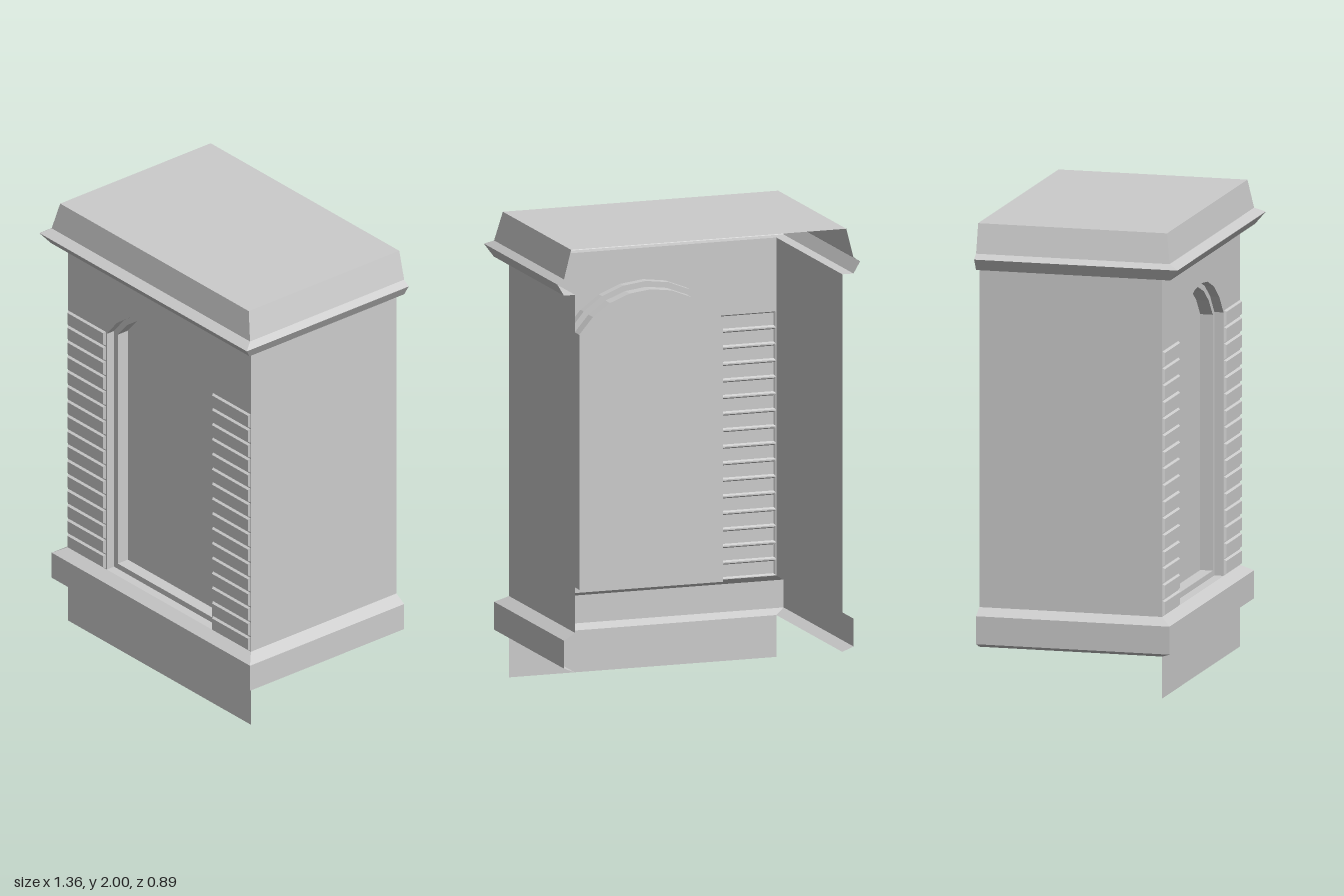
import * as THREE from 'three';

const BACK = -0.445, WALL_X = 0.6, WALL_Z = 0.355, WALL_BOTTOM = 0.35, WALL_TOP = 1.805;
const material = new THREE.MeshStandardMaterial({ color: 0xcccccc, flatShading: true, side: THREE.DoubleSide });

function mesh(name, geometry) {
  const m = new THREE.Mesh(geometry, material);
  m.name = name;
  return m;
}

// Joins successive rows of points [x, y, z] with flat quads
function loft(rows, closed = false) {
  const pos = [];
  for (let i = 0; i < rows.length - 1; i++) {
    const n = rows[i].length;
    for (let j = 0; j < (closed ? n : n - 1); j++) {
      const k = (j + 1) % n;
      const a = rows[i][j], b = rows[i][k], c = rows[i + 1][k], d = rows[i + 1][j];
      pos.push(...a, ...b, ...c, ...a, ...c, ...d);
    }
  }
  const g = new THREE.BufferGeometry();
  g.setAttribute('position', new THREE.Float32BufferAttribute(pos, 3));
  g.computeVertexNormals();
  return g;
}

// Runs a moulding profile of [x, z, y] around the left, front and right sides
const moulding = (profile) => loft(profile.map(([x, z, y]) =>
  [[-x, y, BACK], [-x, y, z], [x, y, z], [x, y, BACK]]));

// Round-topped outline, counter-clockwise from bottom left
function archPoints(halfWidth, bottom, radius) {
  const pts = [[-halfWidth, bottom], [halfWidth, bottom]];
  const half = Math.asin(halfWidth / radius), segments = 8;
  for (let i = 0; i <= segments; i++) {
    const t = half * (1 - (2 * i) / segments);
    pts.push([radius * Math.sin(t), 1.262 + radius * Math.cos(t)]);
  }
  return pts;
}

const rectPoints = (x0, y0, x1, y1) => [[x0, y0], [x1, y0], [x1, y1], [x0, y1]];
const atDepth = (pts, z) => pts.map(([x, y]) => [x, y, z]);
const toVectors = (pts) => pts.map(([x, y]) => new THREE.Vector2(x, y));

function flatPanel(pts, z, holes = []) {
  const shape = new THREE.Shape(toVectors(pts));
  holes.forEach((h) => shape.holes.push(new THREE.Path(toVectors(h))));
  return new THREE.ShapeGeometry(shape).translate(0, 0, z);
}

export function createModel() {
  const group = new THREE.Group();
  const outer = archPoints(0.345, WALL_BOTTOM, 0.408);
  const inner = archPoints(0.32, 0.375, 0.383);

  // Bevelled stone courses beside the niche, open at the back
  const blocks = new THREE.Group();
  blocks.name = 'stoneCourses';
  const holes = [], count = 16, pitch = 1.14 / count;
  for (let i = 0; i < count; i++) {
    const y0 = WALL_BOTTOM + i * pitch + 0.003, y1 = y0 + pitch - 0.006;
    for (const side of [-1, 1]) {
      const x0 = side * 0.474 - 0.123, x1 = x0 + 0.246, bevel = 0.006;
      const base = rectPoints(x0, y0, x1, y1);
      const face = rectPoints(x0 + bevel, y0 + bevel, x1 - bevel, y1 - bevel);
      holes.push(base);
      blocks.add(mesh('stoneBlockBevel', loft([atDepth(base, WALL_Z), atDepth(face, WALL_Z + 0.01)], true)));
      blocks.add(mesh('stoneBlockFace', flatPanel(face, WALL_Z + 0.01)));
    }
  }
  group.add(blocks);

  // Front wall runs around the niche; the niche reaches the wall's lower edge
  const outline = [
    [-WALL_X, WALL_BOTTOM], outer[0], ...outer.slice(2).reverse(), outer[1],
    [WALL_X, WALL_BOTTOM], [WALL_X, WALL_TOP], [-WALL_X, WALL_TOP],
  ];
  group.add(mesh('frontWall', flatPanel(outline, WALL_Z, holes)));

  // Side walls
  for (const s of [-1, 1]) {
    const row = (y) => [[s * WALL_X, y, s * WALL_Z], [s * WALL_X, y, s * BACK]];
    const ordered = (y) => {
      const ends = row(y).map(([x, yy]) => [x, yy]);
      const z = s > 0 ? [WALL_Z, BACK] : [BACK, WALL_Z];
      return ends.map(([x, yy], i) => [x, yy, z[i]]);
    };
    group.add(mesh('sideWall', loft([ordered(WALL_BOTTOM), ordered(WALL_TOP)])));
  }

  // Stepped niche with a flat back panel
  const step = WALL_Z - 0.04, deep = WALL_Z - 0.095;
  group.add(mesh('nicheFrame', loft([
    atDepth(outer, WALL_Z), atDepth(outer, step), atDepth(inner, step), atDepth(inner, deep),
  ], true)));
  group.add(mesh('nichePanel', flatPanel(inner, deep)));

  // Plinth moulding and the plain skirt beneath it
  group.add(mesh('plinth', moulding([
    [WALL_X, WALL_Z, 0.18], [0.65, 0.402, 0.2], [0.65, 0.402, 0.32], [WALL_X, WALL_Z, WALL_BOTTOM],
  ])));
  group.add(mesh('frontSkirt', flatPanel(rectPoints(-WALL_X, 0, WALL_X, 0.18), WALL_Z)));

  // Cornice and flat top
  group.add(mesh('cornice', moulding([
    [WALL_X, WALL_Z, WALL_TOP], [0.65, 0.405, WALL_TOP], [0.68, 0.445, 1.855],
    [0.65, 0.402, 1.875], [0.618, 0.382, 2],
  ])));
  group.add(mesh('roof', loft([
    [[-0.618, 2, 0.382], [0.618, 2, 0.382]], [[-0.618, 2, BACK], [0.618, 2, BACK]],
  ])));
  return group;
}
